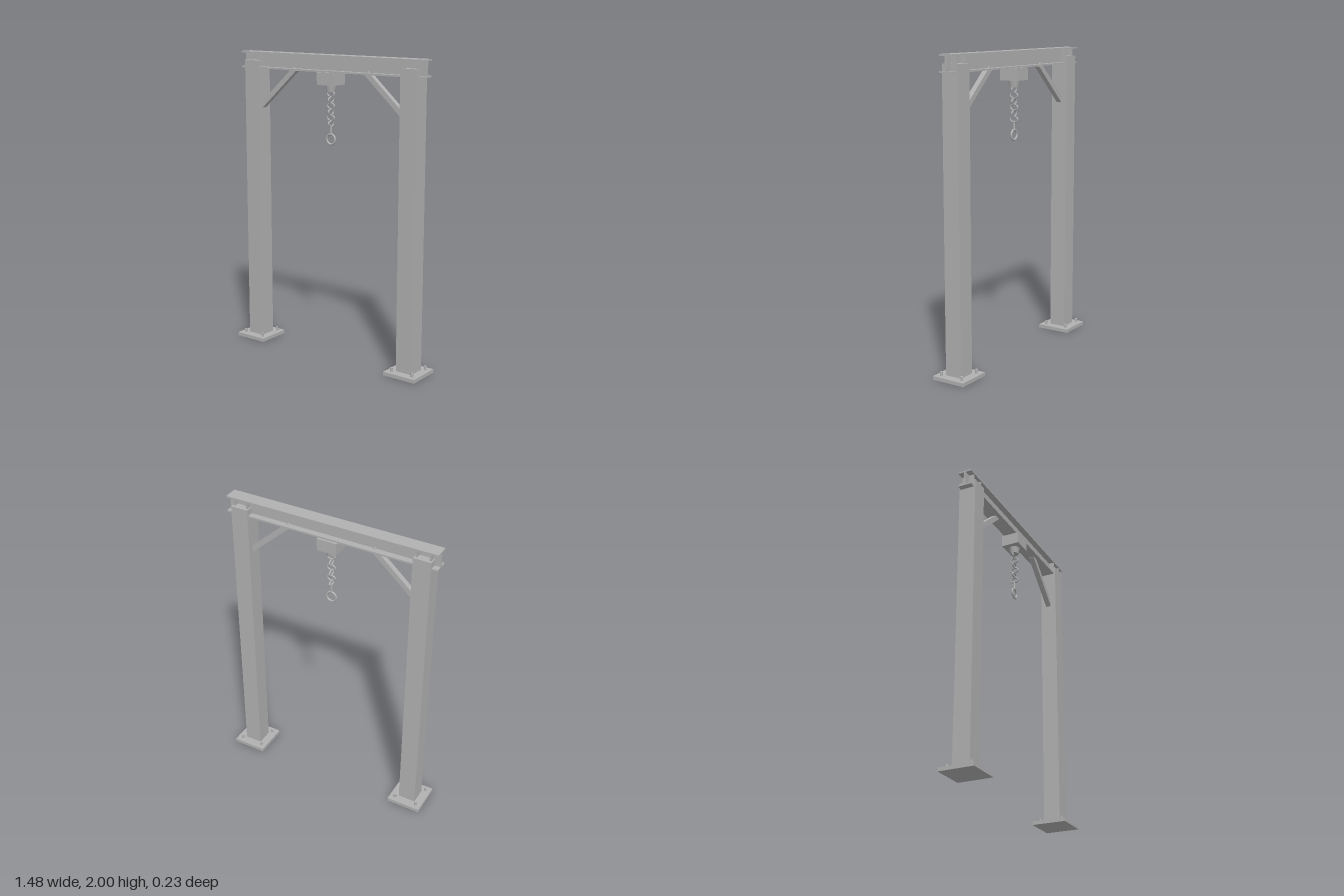
import * as THREE from 'three';

const steel = new THREE.MeshStandardMaterial({ color: 0xb0b0b0 });
steel.name = 'grey steel';

function add(parent, name, geometry, x = 0, y = 0, z = 0) {
  const mesh = new THREE.Mesh(geometry, steel);
  mesh.name = name;
  mesh.position.set(x, y, z);
  parent.add(mesh);
  return mesh;
}
const box = (w, h, d) => new THREE.BoxGeometry(w, h, d);

// I-section in the z-y plane, extruded along x
function beamGeometry(length) {
  const f = 0.047, w = 0.006, t = 0.011, b = 1.89, top = 2;
  const pts = [[-f, b], [f, b], [f, b + t], [w, b + t], [w, top - t], [f, top - t],
    [f, top], [-f, top], [-f, top - t], [-w, top - t], [-w, b + t], [-f, b + t]];
  const shape = new THREE.Shape(pts.map(([x, y]) => new THREE.Vector2(x, y)));
  const g = new THREE.ExtrudeGeometry(shape, { depth: length, bevelEnabled: false });
  return g.translate(0, 0, -length / 2).rotateY(Math.PI / 2);
}

// Upright with base plate, anchor bolts, beam stiffeners and knee brace
function createUpright(side) {
  const g = new THREE.Group();
  g.name = side > 0 ? 'leftUpright' : 'rightUpright';
  const x = side * 0.622;
  add(g, 'basePlate', box(0.232, 0.024, 0.232), x, 0.012, 0);
  add(g, 'post', box(0.118, 1.919, 0.114), x, 0.024 + 1.919 / 2, 0);
  for (const bx of [-1, 1]) {
    for (const bz of [-1, 1]) {
      add(g, 'anchorBolt', new THREE.CylinderGeometry(0.009, 0.009, 0.026, 12),
        x + bx * 0.078, 0.036, bz * 0.078);
    }
    add(g, 'stiffener', box(0.01, 0.088, 0.082), x + bx * 0.045, 1.945, 0);
  }

  // Diagonal bar running from inside the post to the lower flange
  const from = new THREE.Vector2(0.575, 1.639), to = new THREE.Vector2(0.285, 1.898);
  const brace = add(g, 'kneeBrace', box(from.distanceTo(to), 0.034, 0.036),
    side * (from.x + to.x) / 2, (from.y + to.y) / 2, 0);
  brace.rotation.z = -side * Math.atan2(to.y - from.y, from.x - to.x);
  return g;
}

// Hoist block with chain and end ring
function createHoist() {
  const g = new THREE.Group();
  g.name = 'hoist';
  add(g, 'hoistBlock', box(0.134, 0.08, 0.123), 0, 1.85, 0);
  add(g, 'chainGuide', new THREE.CylinderGeometry(0.037, 0.03, 0.045, 8), 0, 1.788, 0);
  for (let i = 0; i < 6; i++) {
    const link = add(g, 'chainLink', new THREE.TorusGeometry(0.027, 0.0055, 8, 24),
      0, 1.752 - i * 0.0385, 0);
    link.scale.y = 0.66;
    link.rotation.y = i % 2 ? Math.PI / 2 : 0;
  }
  add(g, 'ringShank', new THREE.CylinderGeometry(0.007, 0.007, 0.06, 12), 0, 1.521, 0);
  add(g, 'endRing', new THREE.TorusGeometry(0.033, 0.007, 10, 32), 0, 1.459, 0);
  return g;
}

export function createModel() {
  const model = new THREE.Group();
  model.name = 'hoistGantry';
  add(model, 'crossBeam', beamGeometry(1.438));
  model.add(createUpright(1), createUpright(-1), createHoist());
  return model;
}
